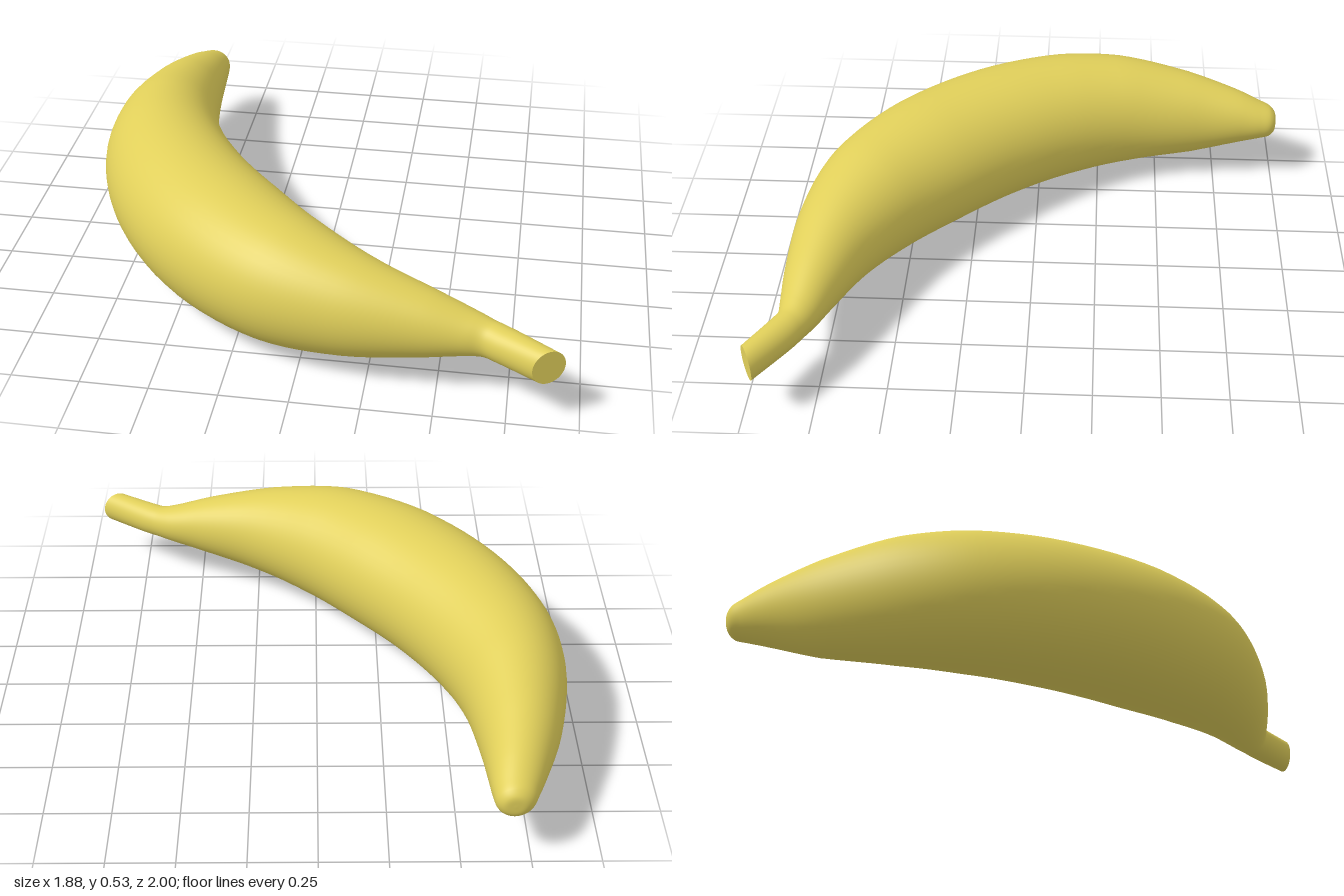
import * as THREE from 'three';

// Cross-sections from blossom tip to stem end:
// inner edge x, z | outer edge x, z | top y, bottom y
const SECTIONS = [
  [-0.675, -1.0, -0.675, -1.0, 0.26, 0.26],
  [-0.635, -0.996, -0.715, -0.996, 0.30, 0.22],
  [-0.612, -0.975, -0.745, -0.973, 0.325, 0.195],
  [-0.602, -0.93, -0.768, -0.925, 0.345, 0.18],
  [-0.595, -0.85, -0.808, -0.83, 0.38, 0.15],
  [-0.58, -0.66, -0.885, -0.61, 0.44, 0.08],
  [-0.535, -0.40, -0.94, -0.30, 0.50, 0.03],
  [-0.456, -0.20, -0.917, -0.02, 0.522, 0.008],
  [-0.31, 0.03, -0.78, 0.31, 0.53, 0.0],
  [-0.12, 0.25, -0.53, 0.62, 0.527, 0.0],
  [0.08, 0.45, -0.20, 0.835, 0.50, 0.02],
  [0.29, 0.60, 0.12, 0.908, 0.44, 0.065],
  [0.50, 0.695, 0.42, 0.912, 0.37, 0.12],
  [0.64, 0.752, 0.58, 0.902, 0.32, 0.155],
  [0.71, 0.79, 0.645, 0.90, 0.302, 0.166],
  [0.765, 0.822, 0.69, 0.922, 0.30, 0.166],
  [0.935, 0.94, 0.825, 0.997, 0.298, 0.165],
];
const STEPS = 96;
const SIDES = 48;

const curve = (fn) => new THREE.CatmullRomCurve3(SECTIONS.map((s) => new THREE.Vector3(...fn(s))), false, 'centripetal');
const innerCurve = curve((s) => [s[0], 0, s[1]]);
const outerCurve = curve((s) => [s[2], 0, s[3]]);
const heightCurve = curve((s) => [s[4], s[5], 0]);

// Elliptical ring of points at t along the fruit
function ring(t) {
  const a = innerCurve.getPoint(t), b = outerCurve.getPoint(t), h = heightCurve.getPoint(t);
  const centre = a.clone().add(b).multiplyScalar(0.5).setY((h.x + h.y) / 2);
  const across = a.sub(b).multiplyScalar(0.5);
  const half = (h.x - h.y) / 2;
  const points = [];
  for (let j = 0; j < SIDES; j++) {
    const angle = (j / SIDES) * Math.PI * 2;
    const p = centre.clone().addScaledVector(across, Math.cos(angle));
    p.y += half * Math.sin(angle);
    points.push(p);
  }
  return { centre, points };
}

function build(points, index) {
  const geometry = new THREE.BufferGeometry().setFromPoints(points);
  geometry.setIndex(index);
  geometry.computeVertexNormals();
  return geometry;
}

// Curved skin, starting from a single pole at the tip
function skinGeometry() {
  const points = [ring(0).centre], index = [];
  for (let i = 1; i <= STEPS; i++) points.push(...ring(i / STEPS).points);
  for (let j = 0; j < SIDES; j++) {
    const k = (j + 1) % SIDES;
    index.push(0, 1 + k, 1 + j);
    for (let i = 0; i < STEPS - 1; i++) {
      const r = 1 + i * SIDES, n = r + SIDES;
      index.push(r + j, r + k, n + j, r + k, n + k, n + j);
    }
  }
  return build(points, index);
}

// Flat cut face closing the stem
function stemCutGeometry() {
  const { centre, points } = ring(1);
  const index = [];
  for (let j = 0; j < SIDES; j++) index.push(0, 1 + j, 1 + ((j + 1) % SIDES));
  return build([centre, ...points], index);
}

export function createModel() {
  const group = new THREE.Group();
  group.name = 'banana';
  const material = new THREE.MeshStandardMaterial({ color: 0xe0cf5a });
  const add = (name, geometry) => {
    const mesh = new THREE.Mesh(geometry, material);
    mesh.name = name;
    group.add(mesh);
  };
  add('skinAndStem', skinGeometry());
  add('stemCut', stemCutGeometry());
  return group;
}
